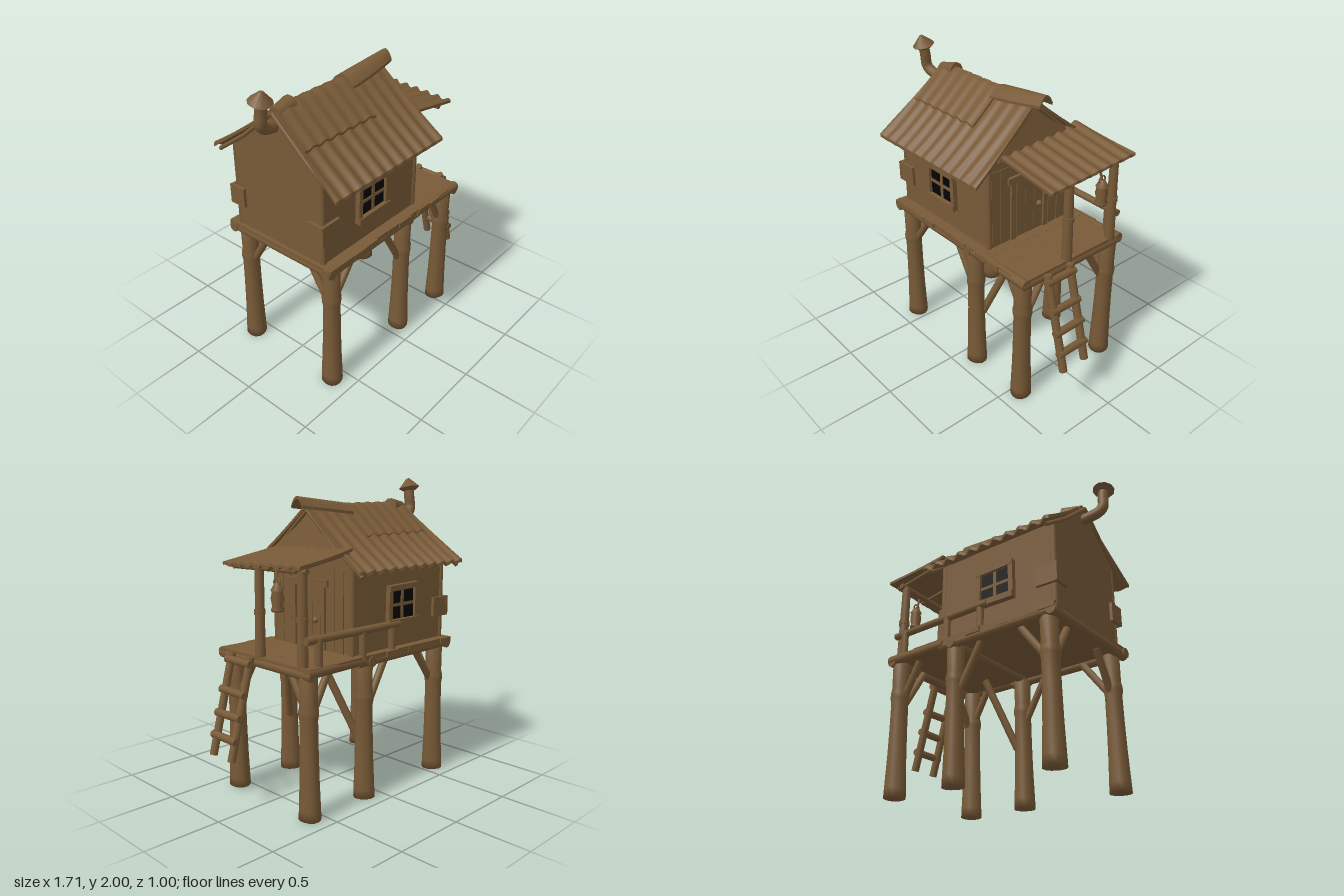
import * as THREE from 'three';

const wood = new THREE.MeshStandardMaterial({ color: 0x785a37 });
wood.name = 'weathered brown';
const dark = new THREE.MeshStandardMaterial({ color: 0x040405 });
dark.name = 'window black';

const V = (x, y, z) => new THREE.Vector3(x, y, z);
const lerp = THREE.MathUtils.lerp;
let seed = 7;
const rnd = () => ((seed = (seed * 16807) % 2147483647) / 2147483647) * 2 - 1;

export function createModel() {
  const root = new THREE.Group();
  root.name = 'stiltHut';

  const add = (name, geo, mat = wood) => {
    const m = new THREE.Mesh(geo, mat);
    m.name = name;
    root.add(m);
    return m;
  };
  const box = (name, w, h, d, x, y, z, mat = wood) => {
    const m = add(name, new THREE.BoxGeometry(w, h, d), mat);
    m.position.set(x, y, z);
    return m;
  };
  // Round log between two points
  const log = (name, a, b, r0, r1 = r0) => {
    const d = b.clone().sub(a);
    const m = add(name, new THREE.CylinderGeometry(r1, r0, d.length(), 10, 1));
    m.position.copy(a).addScaledVector(d, 0.5);
    m.quaternion.setFromUnitVectors(V(0, 1, 0), d.normalize());
    return m;
  };
  // Thin bent sheet: fn maps u (toward +x) and v (toward +z) in 0..1 to a point
  const sheet = (name, nu, nv, th, fn) => {
    const g = new THREE.BoxGeometry(1, 1, 1, nu, 1, nv);
    const p = g.attributes.position;
    for (let i = 0; i < p.count; i++) {
      const q = fn(p.getX(i) + 0.5, p.getZ(i) + 0.5);
      p.setXYZ(i, q[0], q[1] + p.getY(i) * th, q[2]);
    }
    g.computeVertexNormals();
    return add(name, g);
  };
  // Outline in (-z, y), extruded along +x
  const slab = (points, x, depth) => {
    const shape = new THREE.Shape(points.map(([a, b]) => new THREE.Vector2(a, b)));
    const g = new THREE.ExtrudeGeometry(shape, { depth, bevelEnabled: false });
    return g.rotateY(Math.PI / 2).translate(x, 0, 0);
  };

  // Stilts with a flared foot and a knot ring
  const profile = [[0, 0], [0.069, 0], [0.067, 0.06], [0.06, 0.25], [0.056, 0.45], [0.055, 0.62],
    [0.061, 0.65], [0.061, 0.68], [0.054, 0.71], [0.056, 0.89], [0, 0.89]].map(([x, y]) => new THREE.Vector2(x, y));
  for (const [x, z] of [[-0.583, 0.355], [0.12, 0.355], [0.565, 0.355], [-0.583, -0.355], [0.12, -0.355], [0.59, -0.355]]) {
    const g = new THREE.LatheGeometry(profile, 14);
    const p = g.attributes.position;
    for (let i = 0; i < p.count; i++) {
      const a = Math.atan2(p.getZ(i), p.getX(i));
      const k = 1 + 0.05 * Math.sin(3 * a + x * 9) * (1 - p.getY(i) * 0.6);
      p.setX(i, p.getX(i) * k - (0.9 - p.getY(i)) * 0.01);
      p.setZ(i, p.getZ(i) * k);
    }
    g.computeVertexNormals();
    add('stilt', g).position.set(x, 0, z);
  }

  // Deck planks with uneven ends, edge logs beneath
  for (let i = 0; i < 12; i++) {
    const w = 1.31 / 12;
    box('deckPlank', w, 0.035 + rnd() * 0.003, 0.845 + rnd() * 0.015, -0.67 + w * (i + 0.5), 0.925, rnd() * 0.006);
  }
  for (const z of [0.39, -0.39]) {
    log('edgeLog', V(-0.68, 0.905, z), V(0.22, 0.9, z), 0.034, 0.03);
    log('edgeLog', V(0.18, 0.915, z * 1.02), V(0.645, 0.915, z * 1.02), 0.03, 0.034);
  }
  for (const x of [-0.64, 0.11, 0.615]) log('crossLog', V(x, 0.905, 0.425), V(x, 0.9, -0.425), 0.034);

  // Diagonal braces
  for (const z of [0.35, -0.35]) {
    const s = Math.sign(z);
    log('brace', V(-0.56, 0.64, z), V(-0.38, 0.88, z), 0.024);
    log('brace', V(0.08, 0.6, z), V(-0.08, 0.88, z), 0.024);
    log('brace', V(0.54, 0.68, z), V(0.43, 0.88, z), 0.024);
    log('longBrace', V(0.14, 0.4, z * 0.92), V(0.3, 0.88, s * 0.17), 0.026);
    for (const x of [-0.585, 0.565]) log('sideBrace', V(x, 0.62, s * 0.33), V(x, 0.88, s * 0.17), 0.024);
  }

  // Roof line, concave toward the eaves
  const roofY = (z) => 1.835 - 0.949 * Math.abs(z) + 0.29 * z * z;
  const underRoof = (z) => [z, roofY(z) - 0.02];

  // Walls with gable ends
  const back = 0.365, front = -0.345;
  add('walls', slab([[front, 0.94], [back, 0.94], underRoof(back), underRoof(0.18), underRoof(0), underRoof(-0.18), underRoof(front)], -0.645, 0.88));
  // Leaning gable sheet above the porch
  const gable = slab([[-0.31, 1.54], [0.33, 1.54], underRoof(0.33), underRoof(0.18), underRoof(0), underRoof(-0.18), underRoof(-0.31)], 0.235, 0.012);
  const gp = gable.attributes.position;
  for (let i = 0; i < gp.count; i++) gp.setX(i, gp.getX(i) + (1.82 - gp.getY(i)) * 0.16);
  gable.computeVertexNormals();
  add('gableSheet', gable);

  // Corner posts, wrapped patches and windows on the two long walls
  for (const [e, w] of [[1, 0.345], [-1, 0.365]]) {
    for (const x of [-0.63, 0.228]) log('cornerPost', V(x, 0.94, e * (w - 0.01)), V(x, 1.5, e * (w - 0.01)), 0.02);
    box('cornerPatch', 0.15, 0.13, 0.02, -0.595, 1.155, e * (w + 0.018)).rotation.z = 0.02;
    box('cornerPatch', 0.02, 0.13, 0.12, -0.662, 1.155, e * (w - 0.03));
    const z = e * (w + 0.008), x = -0.21;
    box('windowPane', 0.23, 0.19, 0.008, x, 1.22, z, dark);
    for (const sx of [-1, 1]) box('windowJamb', 0.033, 0.23, 0.035, x + sx * 0.126, 1.215, z + e * 0.006).rotation.z = sx * 0.02;
    box('windowHead', 0.28, 0.036, 0.045, x, 1.33, z + e * 0.006).rotation.z = -0.02;
    box('windowSill', 0.29, 0.04, 0.05, x, 1.106, z + e * 0.008).rotation.z = 0.015;
    box('windowBar', 0.022, 0.2, 0.014, x + 0.003, 1.22, z + e * 0.004);
    box('windowBar', 0.22, 0.019, 0.014, x, 1.217, z + e * 0.004);
  }

  // Door wall
  for (let i = 0; i < 3; i++) box('doorBoard', 0.02, 0.39, 0.07, 0.235, 1.145, 0.085 - i * 0.072);
  box('doorJamb', 0.03, 0.41, 0.04, 0.236, 1.145, 0.15);
  box('doorJamb', 0.03, 0.41, 0.035, 0.236, 1.145, -0.12);
  box('doorLintel', 0.036, 0.045, 0.36, 0.238, 1.365, 0.015).rotation.x = 0.02;
  const knob = add('doorKnob', new THREE.SphereGeometry(0.02, 10, 8));
  knob.position.set(0.252, 1.13, -0.06);
  for (const z of [0.215, 0.285, -0.185, -0.26]) box('doorWallPlank', 0.014, 0.52, 0.066, 0.234, 1.2, z);

  // Corrugated main roof, one sheet per slope; the back eave sits slightly higher
  for (const e of [1, -1]) {
    sheet('roofSheet', 80, 8, 0.022, (u, v) => {
      const d = e > 0 ? v : 1 - v;
      const x = lerp(lerp(-0.635, -0.688, d), lerp(0.275, 0.308, d), u);
      const wave = Math.cos(x * 66);
      return [x, roofY(d * 0.49) + (e < 0 ? 0.02 * d : 0) + (0.003 + 0.006 * d) * wave, e * d * (0.49 + 0.008 * wave)];
    });
    // Rafters under the gable edges
    for (const x of [-0.655, 0.262]) {
      log('rafter', V(x, roofY(0) - 0.025, 0), V(x, roofY(0.25) - 0.022, e * 0.25), 0.013);
      log('rafter', V(x, roofY(0.25) - 0.022, e * 0.25), V(x, roofY(0.47) - 0.018, e * 0.47), 0.013);
    }
  }
  // Patch laid over the ridge
  sheet('roofPatch', 48, 16, 0.016, (u, v) => {
    const z = lerp(-0.235, 0.235, v);
    const x = lerp(-0.645 + 0.04 * (1 - v), -0.03, u);
    const r = Math.hypot(z, 0.02);
    return [x, roofY(r) + 0.02 + (0.003 + 0.015 * r) * Math.cos(x * 66), z];
  });
  // Folded ridge cap tilting upward
  sheet('ridgeCap', 8, 6, 0.018, (u, v) => {
    const w = lerp(0.085, 0.05, u * u);
    const t = (v - 0.5) * 2;
    return [lerp(-0.06, 0.35, u), lerp(1.84, 1.888, u) - t * t * 0.055, -0.005 + t * w];
  });

  // Corrugated porch roof, lower toward the front
  sheet('porchRoof', 8, 72, 0.018, (u, v) => {
    const z = lerp(lerp(-0.38, -0.415, u), 0.28, v);
    const wave = Math.cos(z * 72);
    return [lerp(0.25, 0.70 + 0.008 * wave, u), lerp(1.598, 1.525, u) + 0.008 * wave - 0.032 * v, z];
  });
  log('porchBeam', V(0.615, 1.478, 0.25), V(0.615, 1.495, -0.38), 0.018);
  for (const z of [0.2, -0.1, -0.34]) log('porchRafter', V(0.25, 1.557 - z * 0.04, z), V(0.68, 1.49 - z * 0.04, z), 0.014);

  // Porch posts and back railing
  for (const z of [0.045, -0.335]) {
    log('porchPost', V(0.615, 0.92, z), V(0.61, 1.49, z), 0.034, 0.028);
    log('postKnot', V(0.614, 1.2, z), V(0.614, 1.23, z), 0.036);
  }
  log('railing', V(0.63, 1.1, -0.38), V(-0.16, 1.1, -0.395), 0.024);
  for (const x of [0.54, 0.17, -0.1]) log('railPost', V(x, 0.93, -0.39), V(x, 1.11, -0.39), 0.024);

  // Ladder
  const top = V(0.67, 0.94, 0), foot = V(0.835, 0.31, 0);
  for (const z of [0.257, 0.075]) {
    log('ladderRail', V(foot.x, foot.y, z), V(top.x, top.y, z - 0.002), 0.026);
  }
  for (const y of [0.9, 0.715, 0.57, 0.435]) {
    const x = lerp(foot.x, top.x, (y - 0.31) / 0.63) + 0.01;
    log('ladderRung', V(x, y, 0.285), V(x, y + rnd() * 0.006, 0.05), 0.025);
  }

  // Hanging lantern
  const lantern = add('lantern', new THREE.LatheGeometry([[0, 0], [0.036, 0], [0.04, 0.015], [0.031, 0.03], [0.04, 0.08],
    [0.032, 0.115], [0.04, 0.125], [0.016, 0.165], [0, 0.17]].map(([x, y]) => new THREE.Vector2(x, y)), 12));
  lantern.position.set(0.662, 1.252, -0.178);
  log('lanternHook', V(0.662, 1.41, -0.175), V(0.65, 1.5, -0.16), 0.008);
  const ring = add('lanternHandle', new THREE.TorusGeometry(0.025, 0.005, 6, 14));
  ring.position.set(0.662, 1.42, -0.175);
  ring.rotation.y = Math.PI / 2;

  // Bent stovepipe with a collar on the ridge and a tilted cone cap
  const path = new THREE.CatmullRomCurve3([V(-0.55, 1.7, -0.01), V(-0.64, 1.728, 0), V(-0.74, 1.76, 0.025),
    V(-0.772, 1.795, 0.034), V(-0.772, 1.87, 0.043), V(-0.776, 1.95, 0.055)]);
  add('stovepipe', new THREE.TubeGeometry(path, 24, 0.036, 12));
  log('pipeCollar', V(-0.5, 1.815, -0.01), V(-0.635, 1.8, 0.005), 0.054, 0.042);
  log('pipeCap', V(-0.777, 1.935, 0.05), V(-0.779, 1.998, 0.065), 0.073, 0.012);
  log('pipeCapRim', V(-0.777, 1.915, 0.046), V(-0.777, 1.935, 0.05), 0.045, 0.073);

  return root;
}
